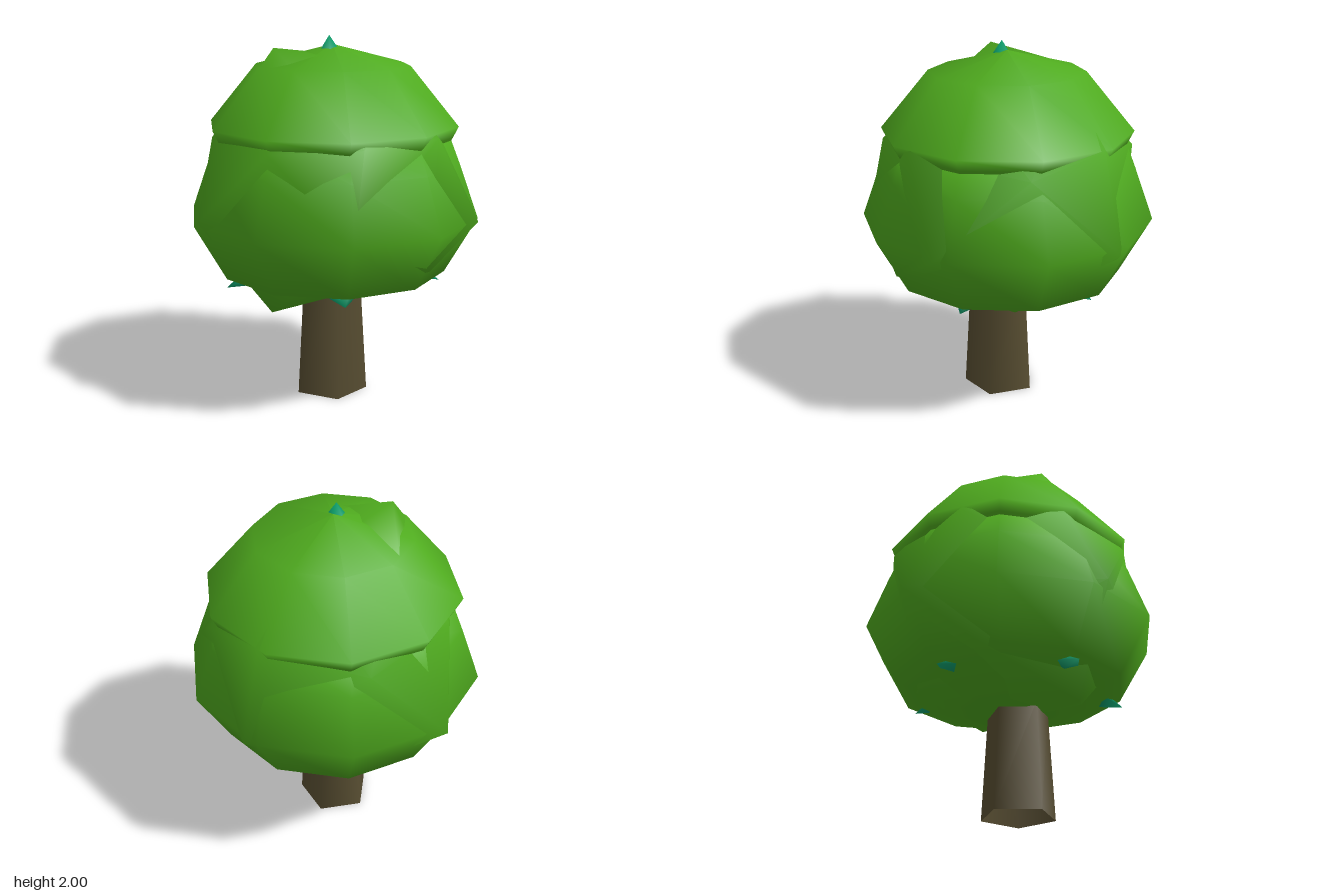
import * as THREE from 'three';
import { mergeVertices } from 'three/addons/utils/BufferGeometryUtils.js';
import { ConvexGeometry } from 'three/addons/geometries/ConvexGeometry.js';

// Weld shared corners so that shading runs smoothly across them
function smooth(geometry) {
  geometry.deleteAttribute('normal');
  geometry.deleteAttribute('uv');
  const welded = mergeVertices(geometry);
  welded.computeVertexNormals();
  return welded;
}

export function createModel() {
  const leafGreen = new THREE.MeshStandardMaterial({ color: 0x4fab1e });
  const barkBrown = new THREE.MeshStandardMaterial({ color: 0x574d31, side: THREE.DoubleSide });
  const tipTeal = new THREE.MeshStandardMaterial({ color: 0x0c9c6a, side: THREE.DoubleSide });
  leafGreen.name = 'leafGreen';
  barkBrown.name = 'barkBrown';
  tipTeal.name = 'tipTeal';

  const tree = new THREE.Group();
  tree.name = 'tree';
  const add = (name, geometry, material) => {
    const mesh = new THREE.Mesh(geometry, material);
    mesh.name = name;
    tree.add(mesh);
    return mesh;
  };

  // Five-sided tapering trunk, hollow and open at the foot
  const turn = THREE.MathUtils.degToRad(40);
  const trunk = add('trunk', new THREE.CylinderGeometry(0.172, 0.207, 0.6, 5, 1, true, turn), barkBrown);
  trunk.position.set(0.009, 0.3, 0.04);

  // Ten-sided crown layers, profiles as [radius, height] from bottom to top
  const layer = (name, profile) => add(name,
    new THREE.LatheGeometry(profile.map(([r, y]) => new THREE.Vector2(r, y)), 10), leafGreen);
  layer('lowerCrown', [[0, 0.56], [0.17, 0.565], [0.63, 0.71], [0.807, 1.02], [0.7, 1.32], [0.63, 1.5], [0, 1.75]]);
  layer('upperCrown', [[0, 1.1], [0.55, 1.25], [0.66, 1.46], [0.69, 1.52], [0.425, 1.84], [0, 1.95]]);

  // Irregular clump whose corners break through the crown layers
  const corners = [
    [-0.2, 1.94, 0.28], [0.4, 1.84, 0.02], [-0.4, 1.84, -0.05], [0, 1.85, -0.4],
    [0.67, 1.5, 0.1], [-0.67, 1.5, 0], [0.45, 1.48, 0.5], [-0.45, 1.48, 0.5], [0.05, 1.52, -0.68],
    [-0.48, 1.42, -0.5], [0.45, 1.42, -0.52], [0, 1.45, 0.68],
    [0.8, 1.02, -0.17], [-0.81, 1.02, -0.26], [0.08, 1, -0.81], [-0.41, 1.06, 0.71], [0.46, 1.03, 0.62],
    [-0.13, 0.54, 0.44], [0.68, 0.82, 0.2], [-0.64, 0.72, 0.1], [0.3, 0.62, -0.3], [-0.3, 0.64, -0.4],
  ];
  add('crownClump', smooth(new ConvexGeometry(corners.map((p) => new THREE.Vector3(...p)))), leafGreen);

  // Small pointed tip on top
  const topTip = add('topTip', smooth(new THREE.ConeGeometry(0.068, 0.1, 5, 1, true, Math.PI)), tipTeal);
  topTip.position.set(0, 1.95, 0.035);

  // Five flattened tips around the underside, pointing outward and slightly down
  const lowerTip = smooth(new THREE.ConeGeometry(0.085, 0.13, 5, 1, true));
  lowerTip.rotateX(Math.PI / 2).scale(1, 0.45, 1).rotateX(0.25);
  for (let i = 0; i < 5; i++) {
    const a = ((i + 0.5) * 2 * Math.PI) / 5;
    const tip = add('lowerTip', lowerTip, tipTeal);
    tip.position.set(Math.sin(a) * 0.55, 0.685, Math.cos(a) * 0.55 + 0.03);
    tip.rotation.y = a;
  }

  return tree;
}
